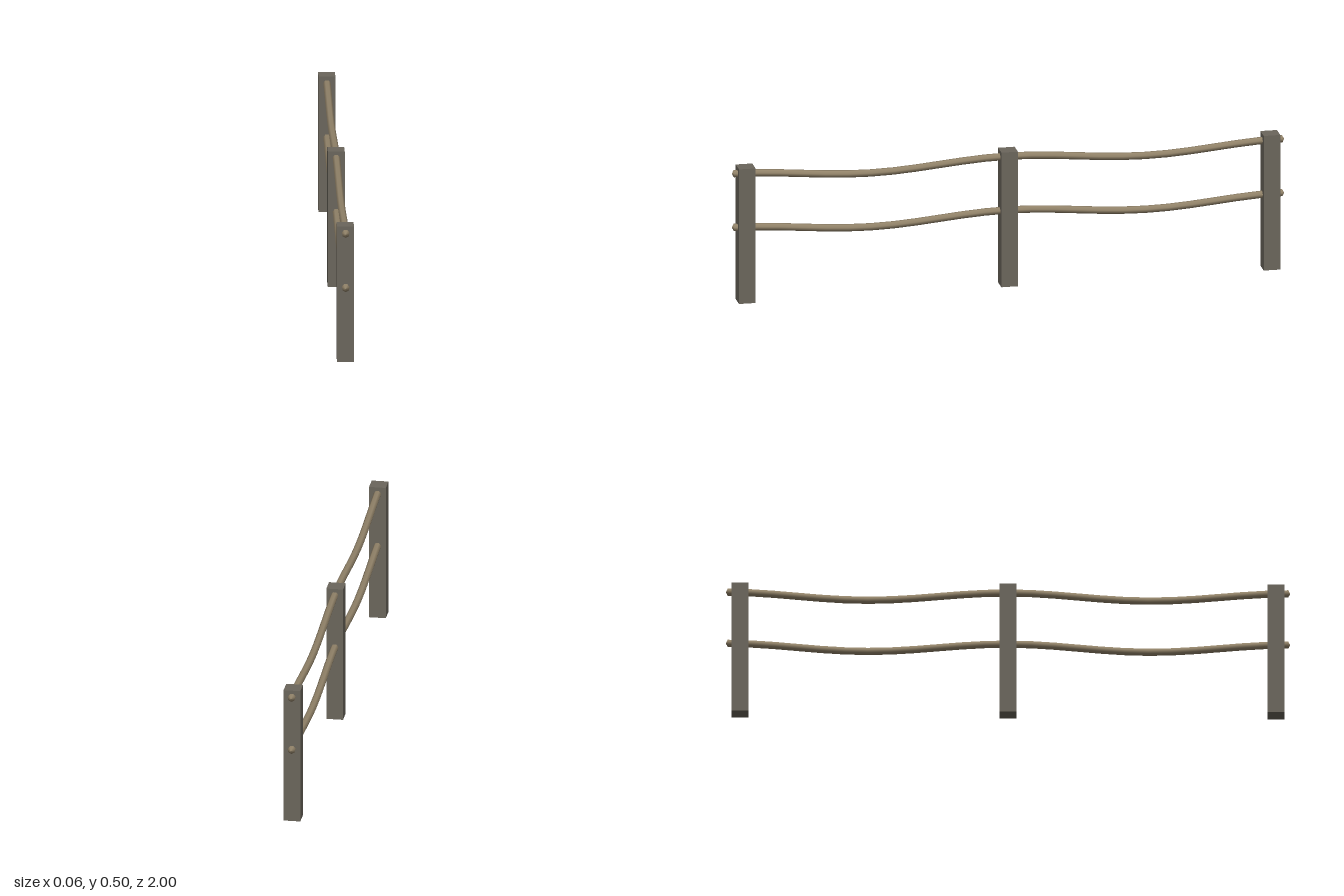
import * as THREE from 'three';

const POST_Z = [-0.95, 0, 0.95];
const POST_WIDTH = 0.06, POST_HEIGHT = 0.5;
const ROPE_RADIUS = 0.0135, ROPE_SIDES = 7, ROPE_STEPS = 24;
const SAG = 0.015;

// Straight rod along z with blunt pointed ends, then bent into two sagging spans
function ropeGeometry() {
  const profile = [new THREE.Vector2(0, -1)];
  for (let i = 0; i <= ROPE_STEPS; i++) {
    profile.push(new THREE.Vector2(ROPE_RADIUS, -0.993 + (1.986 * i) / ROPE_STEPS));
  }
  profile.push(new THREE.Vector2(0, 1));
  const geometry = new THREE.LatheGeometry(profile, ROPE_SIDES);
  geometry.rotateX(Math.PI / 2);
  const p = geometry.attributes.position;
  for (let i = 0; i < p.count; i++) {
    p.setY(i, p.getY(i) + SAG * (Math.cos(2 * Math.PI * p.getZ(i)) - 1));
  }
  return geometry;
}

export function createModel() {
  const group = new THREE.Group();
  group.name = 'ropeFence';
  const postMaterial = new THREE.MeshStandardMaterial({ color: 0x6b665c });
  const ropeMaterial = new THREE.MeshStandardMaterial({ color: 0x93846a });

  // Square posts
  const postGeometry = new THREE.BoxGeometry(POST_WIDTH, POST_HEIGHT, POST_WIDTH);
  ['backPost', 'middlePost', 'frontPost'].forEach((name, i) => {
    const post = new THREE.Mesh(postGeometry, postMaterial);
    post.name = name;
    post.position.set(0, POST_HEIGHT / 2, POST_Z[i]);
    group.add(post);
  });

  // Ropes through the posts
  const geometry = ropeGeometry();
  for (const [name, y] of [['lowerRope', 0.276], ['upperRope', 0.476]]) {
    const rope = new THREE.Mesh(geometry, ropeMaterial);
    rope.name = name;
    rope.position.y = y;
    group.add(rope);
  }
  return group;
}
